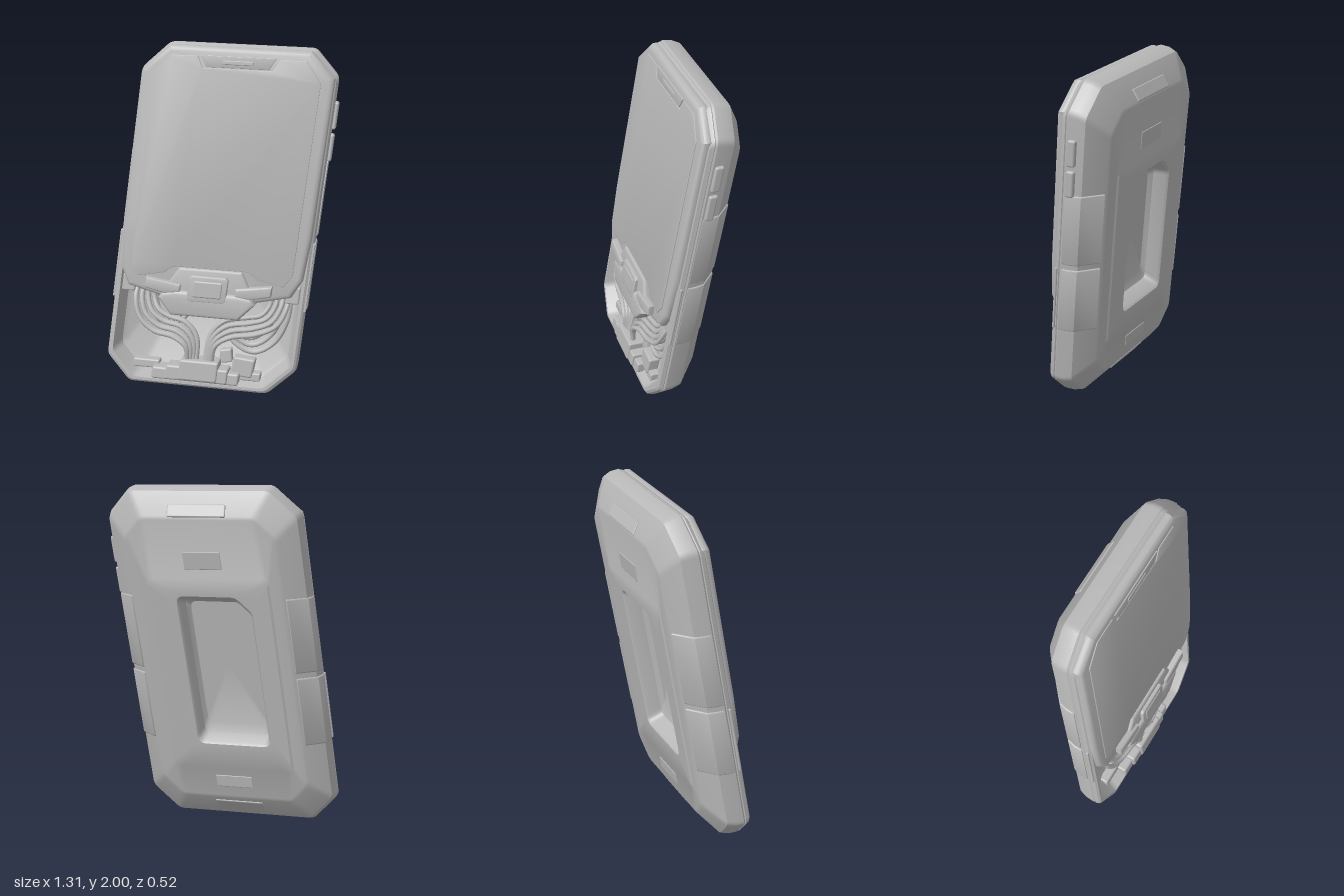
import * as THREE from 'three';
import { toCreasedNormals } from 'three/addons/utils/BufferGeometryUtils.js';
import { RoundedBoxGeometry } from 'three/addons/geometries/RoundedBoxGeometry.js';

const V = (x, y, z) => new THREE.Vector3(x, y, z);
const V2 = ([x, y]) => new THREE.Vector2(x, y);

// Leaning, slightly sheared stance shared by every part (u across, v up, w forward)
const stance = new THREE.Matrix4().set(
  1, 0.106, 0, -0.108,
  -0.02, 1, 0, 0,
  0, -0.137, 1, 0.137,
  0, 0, 0, 1);

// Chamfered rectangle with softened corners, counter-clockwise seen from the front;
// cut is the chamfer of the upper corner on the model's right, u0 the middle
function ring(w, hu, v0, v1, c, cut = c, u0 = 0) {
  const p = [[hu, v0 + c], [hu, v1 - c], [hu - c, v1], [cut - hu, v1],
    [-hu, v1 - cut], [-hu, v0 + c], [c - hu, v0], [hu - c, v0]].map(([x, y]) => V(x + u0, y, w));
  const out = [];
  p.forEach((b, i) => {
    const toward = (q) => b.clone().add(q.clone().sub(b).setLength(Math.min(0.025, q.distanceTo(b) * 0.4)));
    const curve = new THREE.QuadraticBezierCurve3(toward(p[(i + 7) % 8]), b, toward(p[(i + 1) % 8]));
    out.push(...curve.getPoints(3));
  });
  return out;
}

// Skin through rings from back to front, capped at both ends
function loft(rings, crease = 0.55) {
  const n = rings[0].length, pts = rings.flat(), idx = [];
  for (let i = 0; i < rings.length - 1; i++) {
    for (let j = 0; j < n; j++) {
      const a = i * n + j, b = i * n + (j + 1) % n;
      idx.push(a, b, b + n, a, b + n, a + n);
    }
  }
  [0, rings.length - 1].forEach((k) => {
    const centre = rings[k].reduce((s, p) => s.add(p), V(0, 0, 0)).divideScalar(n);
    const c = pts.push(centre) - 1;
    for (let j = 0; j < n; j++) {
      const a = k * n + j, b = k * n + (j + 1) % n;
      if (k) idx.push(c, a, b); else idx.push(c, b, a);
    }
  });
  const g = new THREE.BufferGeometry().setFromPoints(pts);
  g.setIndex(idx);
  return toCreasedNormals(g, crease);
}

// Bevelled prism of an outline, from depth w0 to w1
function prism(points, w0, w1, bevel) {
  const g = new THREE.ExtrudeGeometry(new THREE.Shape(points.map(V2)), {
    depth: w1 - w0 - 2 * bevel, bevelThickness: bevel, bevelSize: bevel,
    bevelOffset: -bevel, bevelSegments: 3 });
  g.translate(0, 0, w0 + bevel);
  return toCreasedNormals(g, 0.6);
}

// Symmetric plate from the outline of its left half
const plate = (half, ...rest) =>
  prism([...half, ...half.map(([x, y]) => [-x, y]).reverse()], ...rest);

export function createModel() {
  const group = new THREE.Group();
  const grey = new THREE.MeshStandardMaterial({ color: 0xb8b8b8 });
  grey.name = 'plain grey';

  const add = (name, geometry) => {
    const mesh = new THREE.Mesh(geometry.applyMatrix4(stance), grey);
    mesh.name = name;
    group.add(mesh);
  };
  const box = (name, size, pos, radius = 0.01, rx = 0, rz = 0) => {
    const g = new RoundedBoxGeometry(...size, 2, radius);
    g.rotateX(rx).rotateZ(rz).translate(...pos);
    add(name, g);
  };

  // Shell: rear recess, raised rear frame, outer wall, front rim and open cavity
  add('shell', loft([
    ring(-0.035, 0.18, 0.60, 1.33, 0.02, 0.07, -0.035),
    ring(-0.06, 0.2, 0.54, 1.35, 0.02, 0.08, -0.035),
    ring(-0.14, 0.21, 0.505, 1.365, 0.02, 0.09, -0.035),
    ring(-0.153, 0.22, 0.49, 1.375, 0.025, 0.09, -0.035),
    ring(-0.155, 0.35, 0.35, 1.47, 0.02, 0.02, -0.01),
    ring(-0.147, 0.362, 0.335, 1.485, 0.02, 0.02, -0.01),
    ring(-0.147, 0.43, 0.17, 1.81, 0.105),
    ring(-0.14, 0.45, 0.15, 1.83, 0.115),
    ring(-0.05, 0.553, 0.03, 1.965, 0.145),
    ring(0, 0.565, 0.014, 1.987, 0.15),
    ring(0.05, 0.567, 0.012, 1.992, 0.15),
    ring(0.06, 0.561, 0.018, 1.986, 0.15),
    ring(0.065, 0.566, 0.013, 1.987, 0.15),
    ring(0.088, 0.56, 0.02, 1.975, 0.15),
    ring(0.098, 0.548, 0.032, 1.965, 0.148),
    ring(0.098, 0.532, 0.048, 1.95, 0.145),
    ring(0.075, 0.525, 0.055, 1.945, 0.142),
    ring(0.01, 0.50, 0.08, 1.925, 0.137),
    ring(-0.005, 0.475, 0.105, 1.90, 0.13),
  ]));

  // Front panel with a stepped lower edge
  add('frontPanel', plate([[0.2, 0.455], [0.29, 0.55], [0.48, 0.595], [0.535, 0.7],
    [0.552, 0.95], [0.553, 1.84], [0.405, 1.982]], 0.06, 0.132, 0.03));
  add('screen', plate([[0.22, 0.73], [0.275, 0.69], [0.43, 0.66], [0.475, 0.73], [0.48, 1.81],
    [0.385, 1.93], [0.235, 1.93], [0.2, 1.865]], 0.129, 0.137, 0.003));
  add('earpieceTrim', plate([[0.18, 1.87], [0.215, 1.935]], 0.129, 0.138, 0.003));
  box('earpieceSlot', [0.18, 0.024, 0.012], [0, 1.9, 0.136], 0.005);

  // Control island at the lower edge
  add('controlLip', plate([[0.2, 0.455], [0.285, 0.55], [0.265, 0.585], [0.185, 0.6]],
    0.085, 0.17, 0.02));
  add('controlIsland', plate([[0.2, 0.5], [0.26, 0.6], [0.185, 0.73]], 0.09, 0.152, 0.014));
  add('homeButtonRim', plate([[0.1, 0.545], [0.115, 0.56], [0.115, 0.68], [0.1, 0.695]],
    0.14, 0.172, 0.008));
  box('homeButton', [0.17, 0.095, 0.02], [0, 0.62, 0.167], 0.009);
  for (const s of [-1, 1]) {
    add('sideKey', prism([[0.16, 0.59], [0.25, 0.578], [0.37, 0.605], [0.37, 0.665], [0.16, 0.635]]
      .map(([x, y]) => [s * x, y]), 0.11, 0.168, 0.01));
  }

  // Low grip pads hugging each flank, and shelf brackets inside the rim
  const padSection = [[0.54, -0.045], [0.572, -0.045], [0.574, 0], [0.561, 0.052],
    [0.46, 0.141], [0.43, 0.12]];
  for (const s of [-1, 1]) {
    for (const [name, v0, v1] of [['lowerGrip', 0.51, 0.91], ['upperGrip', 0.94, 1.37]]) {
      const section = padSection.map(([x, y]) => [s * x, y]);
      add(name, prism(section, v0, v1, 0.008).rotateX(-Math.PI / 2));
    }
    box('shelfBracket', [0.08, 0.1, 0.08], [s * 0.485, 0.6, 0.045]);
    box('sideRidge', [0.016, 0.4, 0.016], [s * 0.565, 0.71, 0.08], 0.007);
  }

  // Side buttons on the left edge
  for (const v of [1.44, 1.62]) box('sideButton', [0.04, 0.155, 0.05], [0.566, v, 0.015], 0.012);

  // Small raised bars on the sloped rear ends, with shallow pads beside the frame
  box('rearTopBar', [0.34, 0.08, 0.016], [0, 1.858, -0.12], 0.007, 0.58);
  box('rearBottomBar', [0.29, 0.09, 0.016], [0, 0.095, -0.098], 0.007, -0.63);
  box('rearTopPad', [0.22, 0.1, 0.01], [0, 1.58, -0.146], 0.004);
  box('rearBottomPad', [0.22, 0.07, 0.01], [0, 0.26, -0.146], 0.004);

  // Connector cluster at the bottom of the cavity
  box('connectorBase', [0.52, 0.07, 0.1], [-0.02, 0.085, 0.055], 0.012);
  box('connectorBlock', [0.23, 0.12, 0.11], [0, 0.125, 0.075], 0.012);
  box('connectorStep', [0.37, 0.085, 0.1], [-0.01, 0.1, 0.07], 0.012);
  box('leftLedge', [0.16, 0.05, 0.06], [-0.33, 0.115, 0.02]);
  box('sideModule', [0.13, 0.11, 0.07], [0.25, 0.15, 0.035], 0.012, 0, -0.08);
  box('moduleTab', [0.07, 0.08, 0.05], [0.14, 0.2, 0.02], 0.01, 0, 0.2);
  box('moduleFoot', [0.12, 0.05, 0.06], [0.3, 0.095, 0.03]);

  // Cables: two bundles meeting at the connector, plus loose loops on each side
  const cable = (points) => add('cable', new THREE.TubeGeometry(
    new THREE.CatmullRomCurve3(points.map((p) => V(...p))), 40, 0.015, 8));
  for (let i = 0; i < 4; i++) {
    const d = i * 0.034, w = 0.095 - i * 0.012;
    cable([[-0.43 + d, 0.62, 0.03], [-0.435 + d, 0.52, w - 0.02], [-0.395 + d, 0.41 + d * 0.4, w],
      [-0.3 + d * 0.7, 0.335 + d * 0.8, w + 0.006], [-0.175 + d * 0.5, 0.31 + d * 0.8, w + 0.012],
      [-0.095 + d * 0.5, 0.26 + d * 0.5, w + 0.015], [-0.075 + d * 0.5, 0.15, 0.085]]);
    cable([[0.455 - d, 0.62, 0.03], [0.46 - d, 0.53, w - 0.02], [0.42 - d, 0.425 + d * 0.4, w],
      [0.31 - d * 0.7, 0.365 + d * 0.8, w + 0.006], [0.16 - d * 0.5, 0.335 + d * 0.8, w + 0.012],
      [0.08 - d * 0.4, 0.28 + d * 0.5, w + 0.015], [0.065 - d * 0.4, 0.15, 0.085]]);
  }
  for (let i = 0; i < 3; i++) {
    const d = i * 0.04;
    cable([[0.465 - d, 0.62, 0.03], [0.47 - d, 0.45, 0.03], [0.41 - d, 0.3 + d * 0.6, 0.025],
      [0.3 - d * 0.6, 0.235 + d, 0.03], [0.17, 0.29 + d, 0.03], [0.09, 0.43 + d, 0.02], [0.08, 0.6, 0.02]]);
    cable([[-0.08 - d, 0.62, 0.02], [-0.1 - d, 0.46, 0.025], [-0.19 - d, 0.37, 0.025],
      [-0.3 - d * 0.5, 0.44, 0.02], [-0.34 - d * 0.5, 0.6, 0.02]]);
  }

  return group;
}
